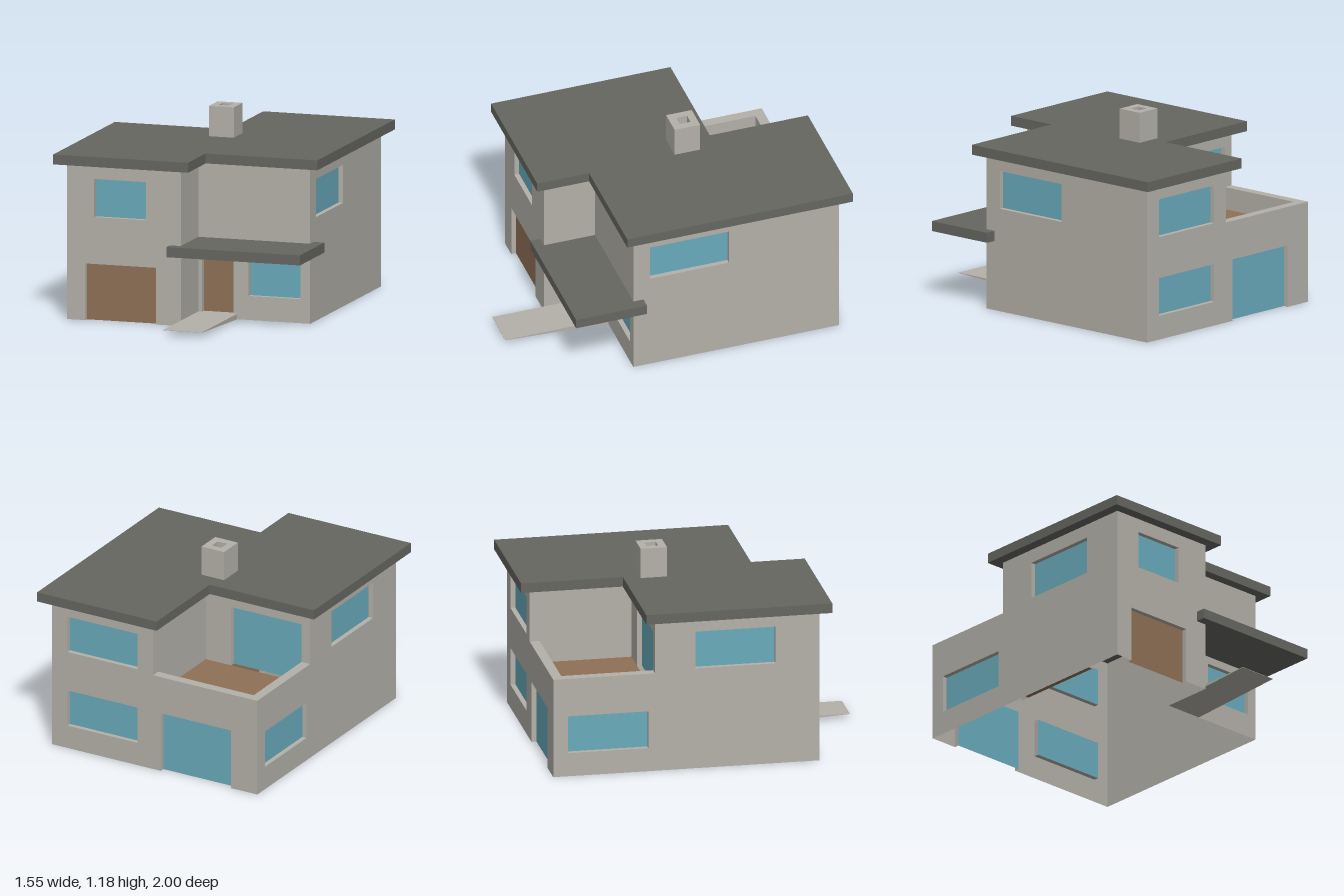
import * as THREE from 'three';
import { mergeGeometries } from 'three/addons/utils/BufferGeometryUtils.js';

const flat = (name, color, side = THREE.FrontSide) =>
  Object.assign(new THREE.MeshStandardMaterial({ color, side }), { name });

export function createModel() {
  const wallMat = flat('wall plaster', 0xb4b1a9, THREE.DoubleSide);
  const roofMat = flat('roof grey', 0x666661);
  const glass = flat('window glass', 0x69abbc, THREE.DoubleSide);
  const wood = flat('brown wood', 0x8f7056, THREE.DoubleSide);

  const house = new THREE.Group();
  house.name = 'house';

  function add(parent, name, geometry, material) {
    const mesh = new THREE.Mesh(geometry, material);
    mesh.name = name;
    parent.add(mesh);
    return mesh;
  }

  const outline = (points) => new THREE.Shape(points.map(([x, y]) => new THREE.Vector2(x, y)));

  // Extrude a plan drawn in (x, z) upward from y0 to y1
  function slab(shape, y0, y1) {
    return new THREE.ExtrudeGeometry(shape, { depth: y1 - y0, bevelEnabled: false })
      .rotateX(-Math.PI / 2).translate(0, y0, 0);
  }

  // Sides of an opening, running back to the recessed pane
  const RECESS = 0.03;
  function reveal([u0, u1, y0, y1], hasSill) {
    const w = u1 - u0, h = y1 - y0, cu = (u0 + u1) / 2, cy = (y0 + y1) / 2, z = -RECESS / 2;
    const sides = [
      new THREE.PlaneGeometry(RECESS, h).rotateY(Math.PI / 2).translate(u0, cy, z),
      new THREE.PlaneGeometry(RECESS, h).rotateY(-Math.PI / 2).translate(u1, cy, z),
      new THREE.PlaneGeometry(w, RECESS).rotateX(Math.PI / 2).translate(cu, y1, z),
    ];
    if (hasSill) sides.push(new THREE.PlaneGeometry(w, RECESS).rotateX(-Math.PI / 2).translate(cu, y0, z));
    return mergeGeometries(sides);
  }

  // Wall skin from a to b (x, z), outside on the right-hand side of travel;
  // openings are [start, end, bottom, top, material, name] measured along the wall
  function wall(name, a, b, base, top, openings = []) {
    const group = new THREE.Group();
    group.name = name;
    const dx = b[0] - a[0], dz = b[1] - a[1], length = Math.hypot(dx, dz);
    const points = [[0, base]];
    const holes = [];
    for (const o of openings) {
      const [u0, u1, y0, y1, mat, label] = o;
      const onBase = y0 <= base;
      if (onBase) points.push([u0, base], [u0, y1], [u1, y1], [u1, base]);
      else holes.push(outline([[u0, y0], [u0, y1], [u1, y1], [u1, y0]]));
      add(group, label + 'Reveal', reveal(o, !onBase), wallMat);
      add(group, label, new THREE.PlaneGeometry(u1 - u0, y1 - y0), mat)
        .position.set((u0 + u1) / 2, (y0 + y1) / 2, -RECESS);
    }
    points.push([length, base], [length, top], [0, top]);
    const shape = outline(points);
    shape.holes.push(...holes);
    add(group, name + 'Skin', new THREE.ShapeGeometry(shape), wallMat);
    group.position.set(a[0], 0, a[1]);
    group.rotation.y = Math.atan2(-dz, dx);
    house.add(group);
  }

  // Main levels and plan lines
  const TOP = 0.94, FLOOR = 0.475, PARAPET = 0.61;
  const L = -0.71, R = 0.705, BACK = -0.935, FRONT = 0.675, PORCH = 0.355;
  const STEP = 0.003, TX = 0.01, TZ = -0.32;
  const LOW = [0.145, 0.375], HIGH = [0.625, 0.855];

  // Front
  wall('garageWall', [L, FRONT], [STEP, FRONT], 0, TOP, [
    [0.115, 0.557, 0, 0.342, wood, 'garageDoor'],
    [0.17, 0.495, ...HIGH, glass, 'frontUpperWindow'],
  ]);
  wall('porchSideWall', [STEP, FRONT], [STEP, PORCH], 0, TOP);
  wall('entranceWall', [STEP, PORCH], [R, PORCH], 0, TOP, [
    [0.024, 0.222, 0.033, 0.375, wood, 'frontDoor'],
    [0.316, 0.64, ...LOW, glass, 'frontLowerWindow'],
  ]);

  // Right side and back
  wall('rightWall', [R, PORCH], [R, BACK], 0, TOP, [
    [0.105, 0.6, ...HIGH, glass, 'rightWindow'],
  ]);
  wall('backWall', [R, BACK], [TX, BACK], 0, TOP, [
    [0.105, 0.59, ...LOW, glass, 'backLowerWindow'],
    [0.105, 0.59, ...HIGH, glass, 'backUpperWindow'],
  ]);
  wall('backTerraceWall', [TX, BACK], [L, BACK], 0, PARAPET, [
    [0.055, 0.54, 0, 0.375, glass, 'gardenDoor'],
  ]);

  // Left side
  wall('leftTerraceWall', [L, BACK], [L, TZ], 0, PARAPET, [
    [0.09, 0.575, ...LOW, glass, 'leftLowerWindow'],
  ]);
  wall('leftWall', [L, TZ], [L, FRONT], 0, TOP, [
    [0.245, 0.73, ...HIGH, glass, 'leftUpperWindow'],
  ]);

  // Terrace: upper walls, floor, parapet cap and inner faces
  wall('terraceSideWall', [TX, BACK], [TX, TZ], FLOOR, TOP);
  wall('terraceDoorWall', [TX, TZ], [L, TZ], FLOOR, TOP, [
    [0.175, 0.66, FLOOR, 0.855, glass, 'terraceDoor'],
  ]);
  const T = 0.06;
  wall('parapetInnerBack', [L + T, BACK + T], [TX, BACK + T], FLOOR, PARAPET);
  wall('parapetInnerLeft', [L + T, TZ], [L + T, BACK + T], FLOOR, PARAPET);
  const cap = outline([[L, -BACK], [TX, -BACK], [TX, -BACK - T], [L + T, -BACK - T], [L + T, -TZ], [L, -TZ]]);
  add(house, 'parapetCap', new THREE.ShapeGeometry(cap).rotateX(-Math.PI / 2).translate(0, PARAPET, 0), wallMat);
  const deck = outline([[L + T, -TZ], [TX, -TZ], [TX, -BACK - T], [L + T, -BACK - T]]);
  add(house, 'terraceFloor', new THREE.ShapeGeometry(deck).rotateX(-Math.PI / 2).translate(0, FLOOR, 0), wood);

  // Overhanging main roof
  const roof = [[-0.775, 0.74], [0.07, 0.74], [0.07, 0.415], [0.77, 0.415],
    [0.77, -1], [-0.055, -1], [-0.055, -0.385], [-0.775, -0.385]];
  add(house, 'mainRoof', slab(outline(roof.map(([x, z]) => [x, -z])), TOP, 1), roofMat);

  // Porch roof
  add(house, 'porchRoof', new THREE.BoxGeometry(0.837, 0.061, 0.445), roofMat)
    .position.set(0.3525, 0.4525, 0.5135);

  // Hollow chimney
  const stack = outline([[-0.095, 0.125], [0.061, 0.125], [0.061, 0.285], [-0.095, 0.285]]);
  stack.holes.push(outline([[-0.05, 0.172], [-0.05, 0.24], [0.015, 0.24], [0.015, 0.172]]));
  add(house, 'chimney', slab(stack, 1, 1.183), wallMat);

  // Wedge-shaped entrance walkway, thinning toward its outer end
  const walkway = outline([[PORCH, 0], [1, 0.031], [1, 0.033], [PORCH, 0.033]]);
  add(house, 'entranceWalkway',
    new THREE.ExtrudeGeometry(walkway, { depth: 0.243, bevelEnabled: false })
      .rotateY(-Math.PI / 2).translate(0.247, 0, 0), wallMat);

  return house;
}
